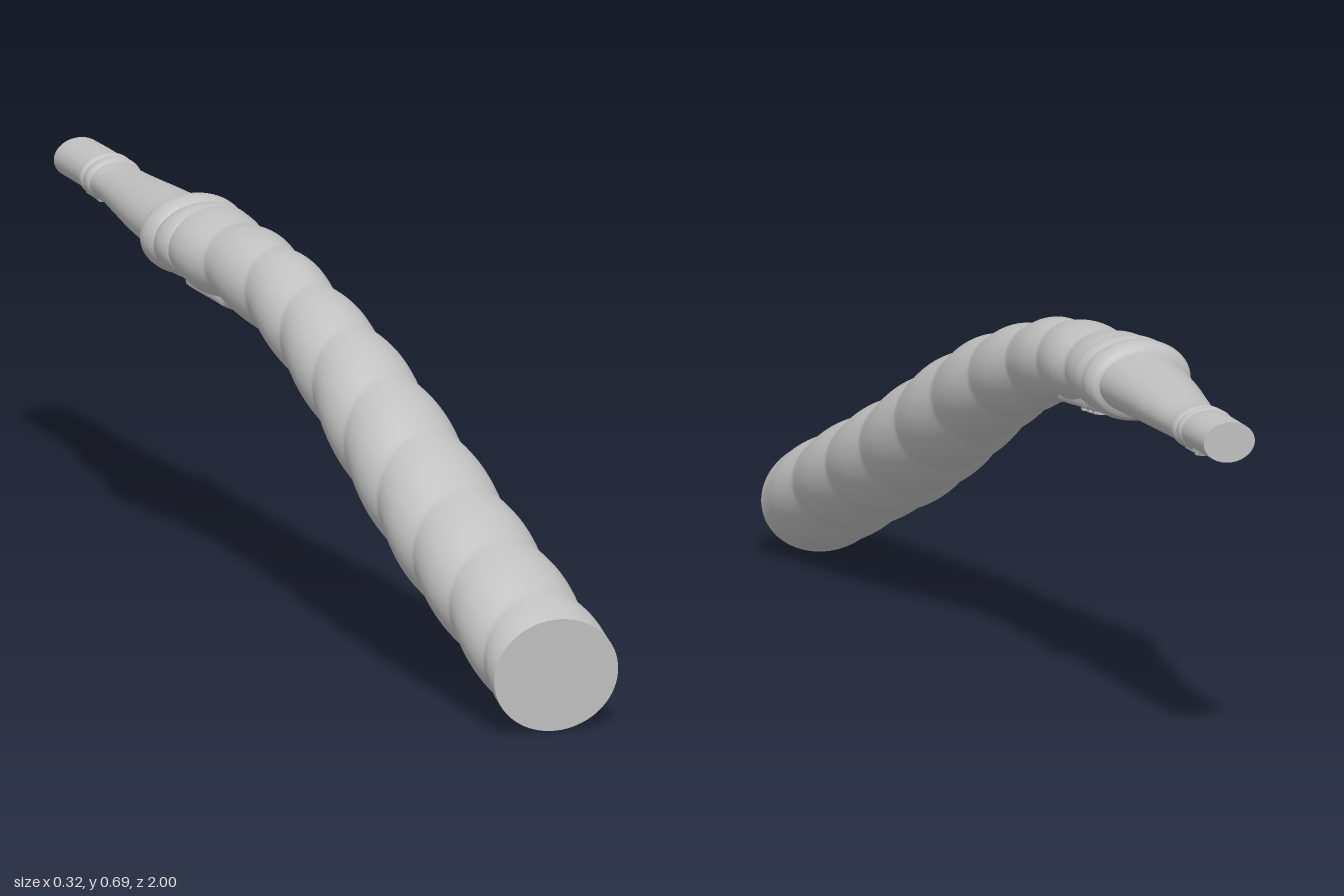
import * as THREE from 'three';

const grey = new THREE.MeshStandardMaterial({ color: 0xc0c0c0 });
grey.name = 'plain grey';

// Each section row: z, left x, right x, bottom y, top y
const HOSE = [
  [1, -0.09, 0.16, 0.002, 0.213], [0.8, -0.097, 0.143, 0.09, 0.3], [0.6, -0.107, 0.126, 0.172, 0.39],
  [0.4, -0.112, 0.104, 0.275, 0.492], [0.2, -0.11, 0.078, 0.388, 0.58], [0, -0.111, 0.05, 0.482, 0.643],
  [-0.1, -0.117, 0.044, 0.512, 0.667], [-0.2, -0.129, 0.042, 0.529, 0.676],
  [-0.3, -0.143, 0.041, 0.538, 0.682], [-0.4, -0.15, 0.039, 0.548, 0.685],
];
const NECK = [
  [-0.4, -0.142, 0.028, 0.557, 0.678], [-0.45, -0.138, 0.027, 0.56, 0.675], [-0.6, -0.119, 0.024, 0.568, 0.666],
  [-0.7, -0.101, 0.022, 0.574, 0.658], [-0.8, -0.084, 0.021, 0.58, 0.652], [-0.9, -0.081, 0.022, 0.583, 0.659],
  [-1, -0.079, 0.021, 0.584, 0.66],
];

// Smooth interpolation of the section rows at a given z
function sectionAt(rows, z) {
  let i = 0;
  while (i < rows.length - 2 && z < rows[i + 1][0]) i++;
  const a = rows[i], b = rows[i + 1];
  const p = rows[Math.max(i - 1, 0)], n = rows[Math.min(i + 2, rows.length - 1)];
  const t = (z - a[0]) / (b[0] - a[0]), h = b[0] - a[0];
  return [1, 2, 3, 4].map((k) => {
    const m0 = ((b[k] - p[k]) / (b[0] - p[0])) * h, m1 = ((n[k] - a[k]) / (n[0] - a[0])) * h;
    return (2 * t ** 3 - 3 * t * t + 1) * a[k] + (t ** 3 - 2 * t * t + t) * m0
      + (3 * t * t - 2 * t ** 3) * b[k] + (t ** 3 - t * t) * m1;
  });
}

// Point on an elliptical section, pushed outwards by off
function pointAt(rows, z, phi, off = 0) {
  const [x0, x1, y0, y1] = sectionAt(rows, z);
  return [(x0 + x1) / 2 + ((x1 - x0) / 2 + off) * Math.cos(phi),
    (y0 + y1) / 2 + ((y1 - y0) / 2 + off) * Math.sin(phi), z];
}

// Grid of points to a smooth surface; closed grids wrap round
function gridSurface(name, nu, nv, closed, point) {
  const pos = [], idx = [], w = closed ? nv : nv + 1;
  for (let i = 0; i <= nu; i++) for (let j = 0; j < w; j++) pos.push(...point(i / nu, j / nv));
  for (let i = 0; i < nu; i++) for (let j = 0; j < nv; j++) {
    const a = i * w + j, b = i * w + ((j + 1) % w), c = a + w, d = b + w;
    idx.push(a, c, b, b, c, d);
  }
  return finish(name, pos, idx);
}

function finish(name, pos, idx) {
  const g = new THREE.BufferGeometry();
  g.setAttribute('position', new THREE.Float32BufferAttribute(pos, 3));
  g.setIndex(idx);
  g.computeVertexNormals();
  const mesh = new THREE.Mesh(g, grey);
  mesh.name = name;
  return mesh;
}

// Flat end cap
function cap(name, rows, z, front) {
  const N = 72, [x0, x1, y0, y1] = sectionAt(rows, z);
  const pos = [(x0 + x1) / 2, (y0 + y1) / 2, z], idx = [];
  for (let j = 0; j < N; j++) {
    pos.push(...pointAt(rows, z, (j / N) * Math.PI * 2));
    const a = j + 1, b = ((j + 1) % N) + 1;
    idx.push(0, front ? a : b, front ? b : a);
  }
  return finish(name, pos, idx);
}

// Rounded band following a section: starts and ends sunk into the body
function band(name, rows, z0, z1, height) {
  return gridSurface(name, 16, 72, true, (u, v) => {
    const bulge = Math.pow(Math.sin(Math.PI * u), 0.45);
    return pointAt(rows, z0 + (z1 - z0) * u, v * Math.PI * 2, -0.014 + (height + 0.014) * bulge);
  });
}

// Thin raised plate wrapped round the underside, with its rim sunk in
function plate(name, rows, z0, z1, deg0, deg1, height) {
  const edge = (t) => Math.min(1, Math.min(t, 1 - t) * 14);
  return gridSurface(name, 28, 28, false, (u, v) => {
    const phi = THREE.MathUtils.degToRad(deg0 + (deg1 - deg0) * v);
    const e = Math.min(edge(u), edge(v));
    return pointAt(rows, z0 + (z1 - z0) * u, phi, -0.006 + (height + 0.006) * e);
  });
}

export function createModel() {
  const model = new THREE.Group();
  model.name = 'ribbedHose';

  // Hose with one spiral ridge
  const pitch = 0.146, amp = 0.0055;
  const hose = gridSurface('spiralHose', 220, 72, true, (u, v) => {
    const z = 1 - 1.4 * u, phi = v * Math.PI * 2;
    const wave = 1.6 * Math.abs(Math.sin(Math.PI * (z / pitch - v))) - 1;
    const fade = Math.min(1, u * 25);
    return pointAt(HOSE, z, phi, amp * wave * fade);
  });
  model.add(hose, cap('frontCap', HOSE, 1, true));

  // Double collar
  const collar = new THREE.Group();
  collar.name = 'collar';
  const ring = [[-0.3, -0.154, 0.042, 0.546, 0.687], [-0.5, -0.154, 0.04, 0.548, 0.687]];
  collar.add(band('frontRing', ring, -0.335, -0.398, 0.002), band('rearRing', ring, -0.392, -0.456, 0.006));
  collar.add(cap('collarBack', ring, -0.446, false));
  model.add(collar);

  // Tapering neck and tip
  const neck = gridSurface('taperedNeck', 60, 72, true, (u, v) => pointAt(NECK, -0.4 - 0.6 * u, v * Math.PI * 2));
  model.add(neck, cap('tipCap', NECK, -1, false));
  model.add(band('tipRingFront', NECK, -0.825, -0.862, 0.005), band('tipRingRear', NECK, -0.855, -0.888, 0.004));

  // Underside grip panel with three ribs
  const grip = new THREE.Group();
  grip.name = 'gripPanel';
  grip.add(plate('panel', HOSE, -0.19, -0.335, 225, 315, 0.007));
  for (let i = 0; i < 3; i++) {
    const z = -0.235 - i * 0.026;
    grip.add(plate('rib', HOSE, z, z - 0.012, 250, 290, 0.013));
  }
  model.add(grip);

  // Small latch beneath the tip
  const latch = new THREE.Group();
  latch.name = 'tipLatch';
  latch.add(plate('latchPlate', NECK, -0.835, -0.905, 235, 305, 0.007));
  latch.add(plate('latchRib', NECK, -0.86, -0.875, 250, 290, 0.012));
  model.add(latch);

  return model;
}
